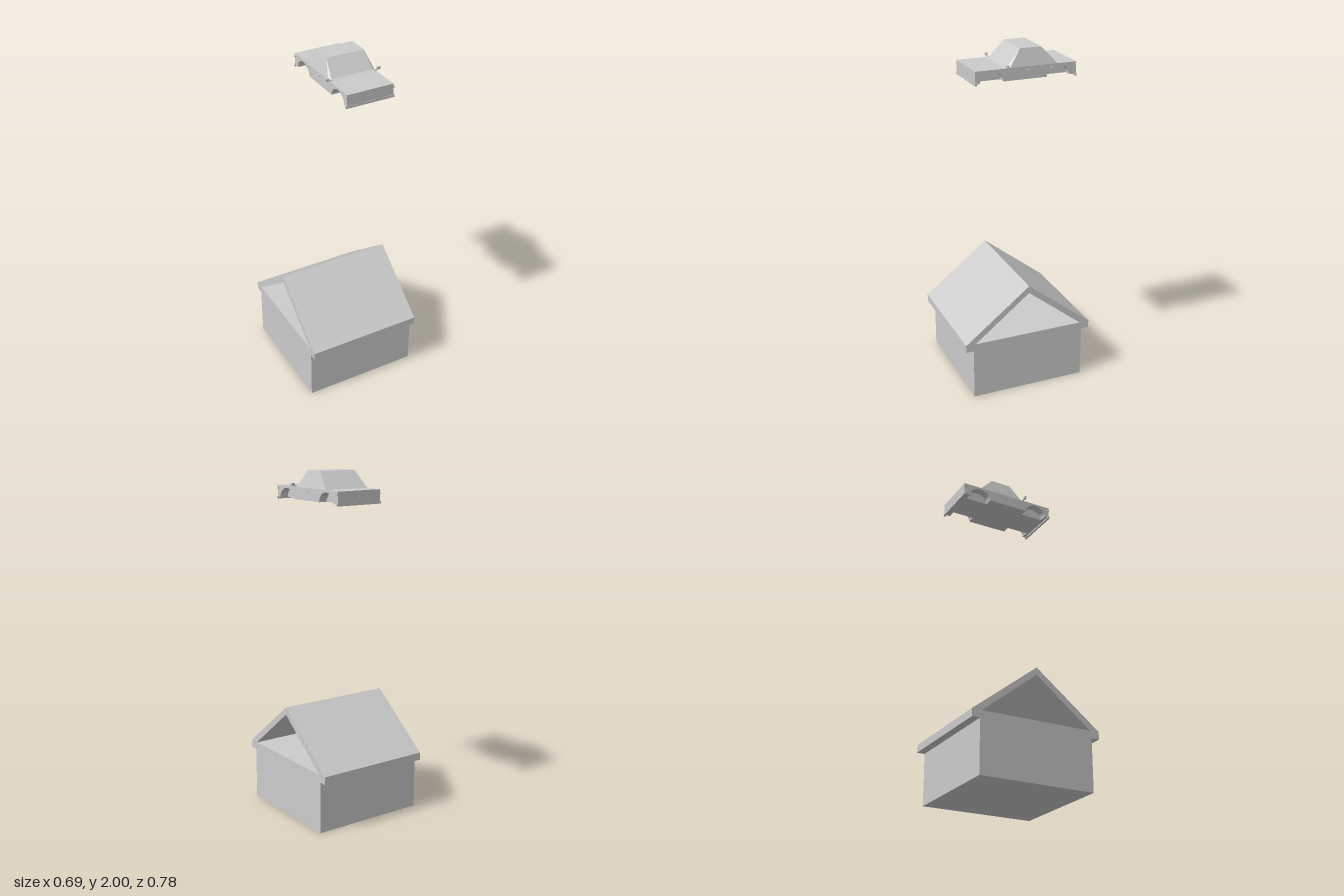
import * as THREE from 'three';
import { ConvexGeometry } from 'three/addons/geometries/ConvexGeometry.js';

const material = new THREE.MeshStandardMaterial({ color: 0xcccccc, flatShading: true });

function add(parent, name, geometry, x = 0, y = 0, z = 0) {
  const mesh = new THREE.Mesh(geometry, material);
  mesh.name = name;
  mesh.position.set(x, y, z);
  parent.add(mesh);
  return mesh;
}

// Extrude a (z, y) outline along x, centred on x = 0.
function extrudeAcross(shape, width) {
  const g = new THREE.ExtrudeGeometry(shape, { depth: width, bevelEnabled: false, curveSegments: 12 });
  g.translate(0, 0, -width / 2);
  g.rotateY(-Math.PI / 2); // shape x -> +z, depth -> -x
  return g;
}

const outline = (pts) => new THREE.Shape(pts.map(([z, y]) => new THREE.Vector2(z, y)));

function createHouse() {
  const house = new THREE.Group();
  house.name = 'house';
  add(house, 'walls', new THREE.BoxGeometry(0.686, 0.348, 0.686), 0, 0.174, 0);
  // Open gabled roof with dropped eaves
  const roof = outline([
    [0.39, 0.305], [0.39, 0.35], [0, 0.655], [-0.39, 0.35], [-0.39, 0.305],
    [-0.343, 0.305], [-0.343, 0.348], [-0.333, 0.348], [0, 0.612],
    [0.333, 0.348], [0.343, 0.348], [0.343, 0.305],
  ]);
  add(house, 'roof', extrudeAcross(roof, 0.688));
  return house;
}

function createCar() {
  const car = new THREE.Group();
  car.name = 'car';
  const front = 0.266, back = -0.328, floor = 1.836, deck = 1.905, half = 0.141;
  const pocket = 0.05;

  // Body core between the wheel wells
  const length = front - back;
  add(car, 'bodyCore', new THREE.BoxGeometry(2 * (half - pocket), deck - floor, length),
    0, (deck + floor) / 2, (front + back) / 2);

  // Side panels with wheel arches
  const side = new THREE.Shape();
  side.moveTo(back, deck);
  side.lineTo(back, floor);
  for (const z of [-0.22, 0.169]) {
    side.lineTo(z - 0.068, floor);
    side.absellipse(z, floor, 0.068, 0.057, Math.PI, 0, true);
  }
  side.lineTo(front, floor);
  side.lineTo(front, deck);
  side.closePath();

  for (const s of [-1, 1]) {
    add(car, 'sidePanel', extrudeAcross(side, pocket), s * (half - pocket / 2));
    // Door handles
    for (const z of [-0.177, -0.042]) {
      add(car, 'doorHandle', new THREE.BoxGeometry(0.012, 0.007, 0.015), s * half, 1.886, z);
    }
    // Wing mirrors on short stalks
    add(car, 'mirror', new THREE.BoxGeometry(0.021, 0.015, 0.011), s * 0.157, 1.918, 0.084);
    add(car, 'mirrorStalk', new THREE.BoxGeometry(0.02, 0.006, 0.006), s * 0.139, 1.909, 0.082);
    // Corner lamps
    for (const z of [front - 0.004, back + 0.006]) {
      add(car, 'cornerLamp', new THREE.BoxGeometry(0.006, 0.01, 0.008), s * (half + 0.002), 1.887, z);
    }
  }

  // Tapered cabin with chamfered windscreen corners
  const corners = [];
  for (const s of [-1, 1]) {
    for (const [x, y, z] of [
      [half, deck, -0.215], [half, deck, 0.064], [0.128, deck, 0.08],
      [0.115, 2, -0.128], [0.115, 2, -0.003],
    ]) corners.push(new THREE.Vector3(s * x, y, z));
  }
  add(car, 'cabin', new ConvexGeometry(corners));

  // Cowl at the foot of the windscreen
  const cowl = [];
  for (const x of [-half, half]) {
    cowl.push(new THREE.Vector3(x, deck, 0.092), new THREE.Vector3(x, deck, 0.066),
      new THREE.Vector3(x * 0.91, deck + 0.007, 0.076));
  }
  add(car, 'cowl', new ConvexGeometry(cowl));

  // Bumpers and number plates at both ends
  for (const [end, s] of [[front, 1], [back, -1]]) {
    add(car, 'bumper', new THREE.BoxGeometry(0.294, 0.014, 0.012), 0, 1.834, end - s * 0.004);
    add(car, 'plate', new THREE.BoxGeometry(0.06, 0.012, 0.002), 0, 1.868, end + s * 0.0005);
  }
  car.position.x = 0.07;
  return car;
}

export function createModel() {
  const model = new THREE.Group();
  model.name = 'houseAndCar';
  model.add(createHouse(), createCar());
  return model;
}
